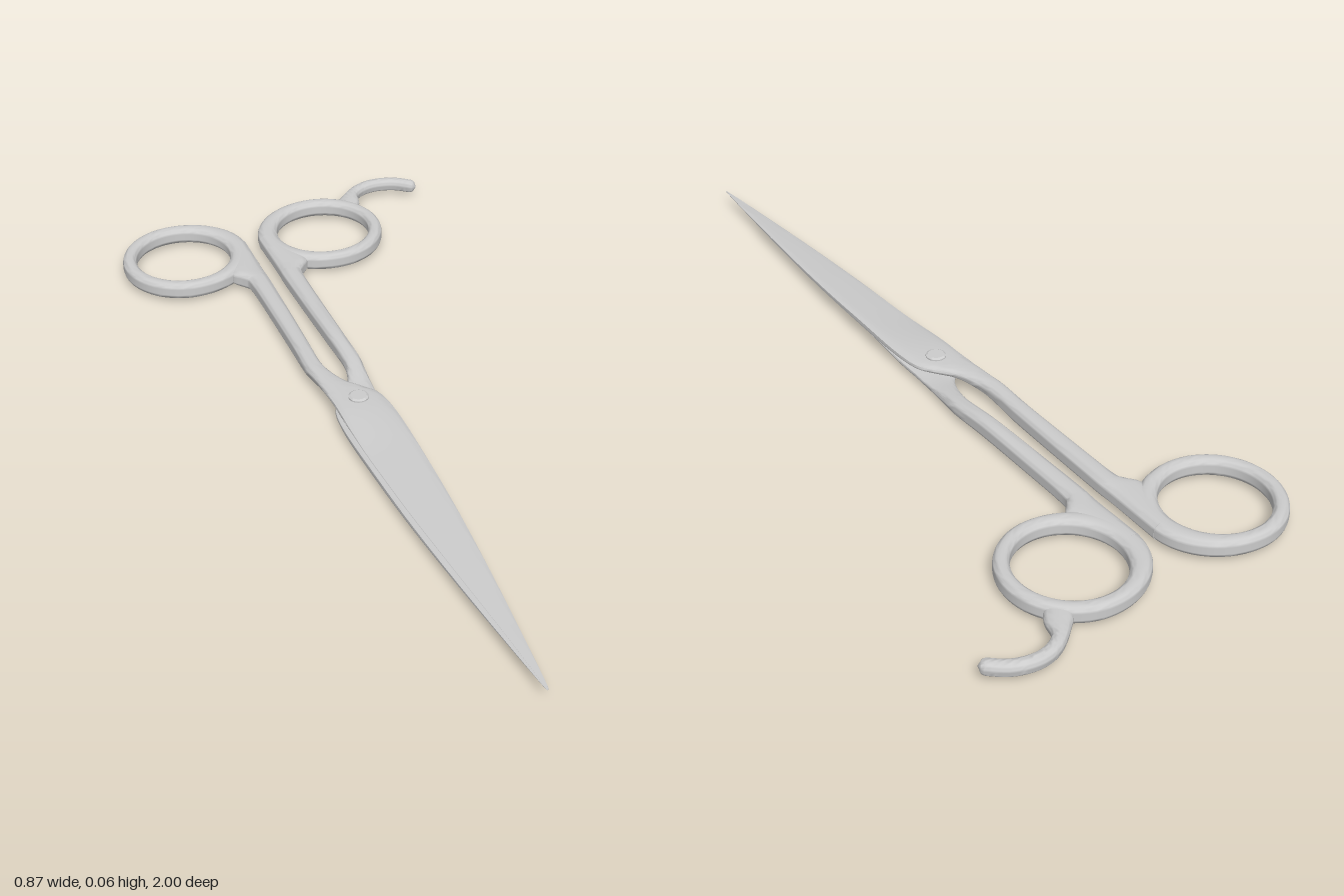
import * as THREE from 'three';
import { toCreasedNormals } from 'three/addons/utils/BufferGeometryUtils.js';

const SIDES = 24;
const PIVOT_X = -0.09, MID_Y = 0.03;
const material = new THREE.MeshStandardMaterial({ color: 0xcccccc });

// Point on a rounded box outline between -1 and 1
function outline(j, power) {
  const a = (j / SIDES) * Math.PI * 2;
  const f = (v) => Math.sign(v) * Math.pow(Math.abs(v), power);
  return [f(Math.cos(a)), f(Math.sin(a))];
}

// Skin a row of cross-sections, either closed into a loop or capped at the ends
function loft(sections, closed) {
  const n = sections.length, pos = [], index = [];
  sections.forEach((s) => s.forEach((p) => pos.push(p.x, p.y, p.z)));
  for (let i = 0; i < (closed ? n : n - 1); i++) {
    const p = i * SIDES, q = ((i + 1) % n) * SIDES;
    for (let j = 0; j < SIDES; j++) {
      const k = (j + 1) % SIDES;
      index.push(p + j, p + k, q + j, p + k, q + k, q + j);
    }
  }
  if (!closed) {
    for (const i of [0, n - 1]) {
      const c = new THREE.Vector3();
      sections[i].forEach((p) => c.addScaledVector(p, 1 / SIDES));
      const centre = pos.length / 3;
      pos.push(c.x, c.y, c.z);
      for (let j = 0; j < SIDES; j++) {
        const a = i * SIDES + j, b = i * SIDES + (j + 1) % SIDES;
        if (i === 0) index.push(centre, b, a);
        else index.push(centre, a, b);
      }
    }
  }
  const g = new THREE.BufferGeometry();
  g.setAttribute('position', new THREE.Float32BufferAttribute(pos, 3));
  g.setIndex(index);
  return toCreasedNormals(g, 0.7);
}

function part(name, geometry) {
  const mesh = new THREE.Mesh(geometry, material);
  mesh.name = name;
  return mesh;
}

// Shank and blade: z, left x, right x, bottom y, top y, measured from the pivot
const STATIONS = [
  [-0.80, -0.068, -0.018, -0.022, 0.022],
  [-0.75, -0.076, -0.018, -0.022, 0.022],
  [-0.70, -0.096, -0.018, -0.022, 0.022],
  [-0.66, -0.104, -0.018, -0.022, 0.022],
  [-0.63, -0.081, -0.018, -0.022, 0.022],
  [-0.60, -0.070, -0.018, -0.022, 0.022],
  [-0.45, -0.068, -0.021, -0.022, 0.022],
  [-0.30, -0.068, -0.025, -0.022, 0.022],
  [-0.20, -0.071, -0.028, -0.015, 0.022],
  [-0.15, -0.067, -0.020, -0.009, 0.022],
  [-0.10, -0.063, 0.000, -0.002, 0.022],
  [-0.06, -0.061, 0.034, 0.0005, 0.022],
  [-0.02, -0.060, 0.058, 0.0005, 0.022],
  [0.06, -0.060, 0.066, 0.0005, 0.022],
  [0.20, -0.055, 0.063, 0.0005, 0.021],
  [0.40, -0.045, 0.055, 0.0005, 0.017],
  [0.60, -0.030, 0.041, 0.0005, 0.012],
  [0.80, -0.014, 0.023, 0.0005, 0.007],
  [0.95, -0.004, 0.008, 0.0005, 0.003],
  [1.00, -0.001, 0.002, 0.0005, 0.002],
];

function shankAndBlade() {
  const columns = [1, 2, 3, 4].map((k) =>
    new THREE.SplineCurve(STATIONS.map((s) => new THREE.Vector2(s[0], s[k]))));
  const sections = [], steps = (STATIONS.length - 1) * 4;
  for (let i = 0; i <= steps; i++) {
    const points = columns.map((c) => c.getPoint(i / steps));
    const z = points[0].x;
    const [x0, x1, y0, y1] = points.map((p) => p.y);
    const blade = THREE.MathUtils.smoothstep(z, -0.02, 0.2);
    const section = [];
    for (let j = 0; j < SIDES; j++) {
      const [u, v] = outline(j, 0.7 - 0.25 * blade);
      // The blade thins from its spine to its cutting edge
      const thin = 1 - blade * 0.75 * (1 - u) / 2;
      section.push(new THREE.Vector3(
        (x0 + x1) / 2 + u * (x1 - x0) / 2,
        y0 + (y1 - y0) * thin * (v + 1) / 2, z));
    }
    sections.push(section);
  }
  return loft(sections, false);
}

// Finger ring, wider where it runs into the shank
function fingerRing() {
  const sections = [], inner = 0.121;
  for (let i = 0; i < 64; i++) {
    const t = (i / 64) * Math.PI * 2;
    const outer = 0.157 + 0.018 * Math.max(0, Math.cos(t)) ** 2;
    const section = [];
    for (let j = 0; j < SIDES; j++) {
      const [u, v] = outline(j, 0.75);
      const r = (inner + outer) / 2 + u * (outer - inner) / 2;
      section.push(new THREE.Vector3(-0.193 + r * Math.cos(t), v * 0.022, -0.79 + r * Math.sin(t)));
    }
    sections.push(section);
  }
  return loft(sections, true);
}

// Curved finger rest with a flared root and a rounded tip
function fingerRest() {
  const path = new THREE.CatmullRomCurve3([
    [0.205, -0.888], [0.225, -0.915], [0.247, -0.949], [0.283, -0.973],
    [0.325, -0.981], [0.378, -0.968], [0.428, -0.930],
  ].map(([x, z]) => new THREE.Vector3(x, MID_Y, z)));
  const up = new THREE.Vector3(0, 1, 0), sections = [], steps = 40;
  for (let i = 0; i <= steps; i++) {
    const t = i / steps;
    const p = path.getPointAt(t);
    const side = new THREE.Vector3().crossVectors(up, path.getTangentAt(t));
    const tip = Math.sqrt(Math.max(0.01, 1 - (Math.max(0, t - 0.94) / 0.06) ** 2));
    const flare = 0.014 * (1 - THREE.MathUtils.smoothstep(t, 0.08, 0.3));
    const section = [];
    for (let j = 0; j < SIDES; j++) {
      const [u, v] = outline(j, 0.85);
      section.push(p.clone().addScaledVector(side, u * (0.016 + flare) * tip)
        .addScaledVector(up, v * 0.017 * tip));
    }
    sections.push(section);
  }
  return loft(sections, false);
}

export function createModel() {
  const model = new THREE.Group();
  model.name = 'scissors';

  // Two identical halves, the second turned over about the long axis
  const blade = shankAndBlade(), ring = fingerRing();
  ['upperHalf', 'lowerHalf'].forEach((name, i) => {
    const half = new THREE.Group();
    half.name = name;
    half.add(part('shankAndBlade', blade), part('fingerRing', ring));
    half.position.set(PIVOT_X, MID_Y, 0);
    half.rotation.z = i * Math.PI;
    model.add(half);
  });

  model.add(part('fingerRest', fingerRest()));

  // Pivot screw with a domed edge on both heads
  const profile = [[0, 0], [0.019, 0], [0.024, 0.003], [0.024, 0.055], [0.019, 0.058], [0, 0.058]]
    .map(([x, y]) => new THREE.Vector2(x, y));
  const screw = part('pivotScrew', toCreasedNormals(new THREE.LatheGeometry(profile, 32), 0.5));
  screw.position.set(PIVOT_X, 0, -0.02);
  model.add(screw);
  return model;
}
